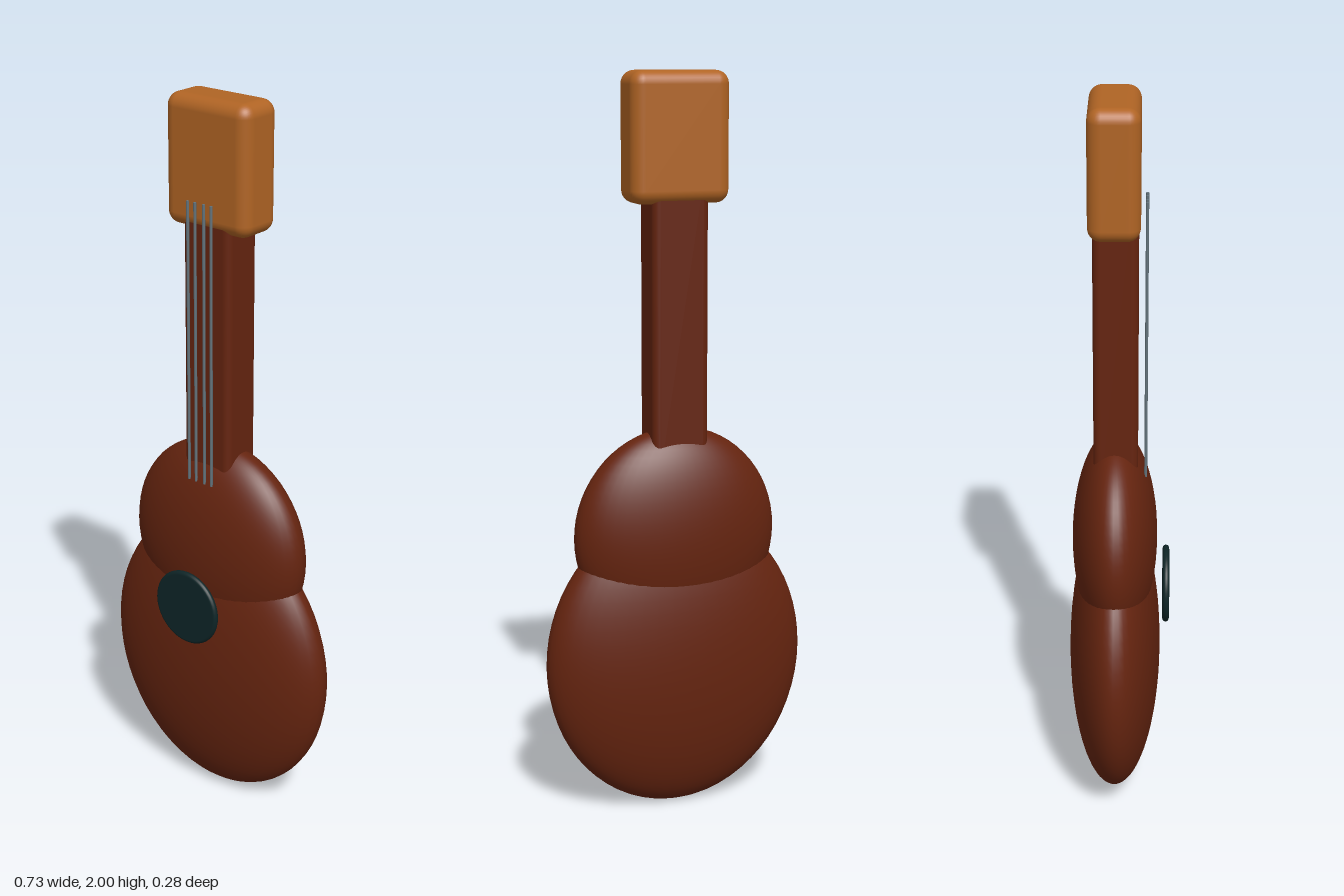
import * as THREE from 'three';
import { RoundedBoxGeometry } from 'three/addons/geometries/RoundedBoxGeometry.js';

const material = (name, color) => {
  const m = new THREE.MeshStandardMaterial({ color });
  m.name = name;
  return m;
};

export function createModel() {
  const group = new THREE.Group();
  group.name = 'guitar';
  const darkWood = material('darkWood', 0x65240f);
  const lightWood = material('lightWood', 0xb06424);
  const holeBlack = material('holeBlack', 0x0e2527);
  const steel = material('steel', 0x64747c);
  const zMid = -0.013;

  const add = (name, geometry, mat, x, y, z) => {
    const mesh = new THREE.Mesh(geometry, mat);
    mesh.name = name;
    mesh.position.set(x, y, z);
    group.add(mesh);
    return mesh;
  };

  // Body: two flattened bouts that overlap at the waist
  const bout = (name, y, rx, ry, rz) =>
    add(name, new THREE.SphereGeometry(1, 48, 32).scale(rx, ry, rz), darkWood, 0, y, zMid);
  bout('lowerBout', 0.42, 0.365, 0.416, 0.126);
  bout('upperBout', 0.77, 0.283, 0.293, 0.116);

  // Neck and headstock
  add('neck', new RoundedBoxGeometry(0.155, 0.78, 0.118, 4, 0.02), darkWood, 0, 1.34, zMid + 0.003);
  add('headstock', new RoundedBoxGeometry(0.27, 0.34, 0.134, 4, 0.035), lightWood, 0, 1.83, zMid);

  // Sound hole: a disc with a rounded rim, floating just ahead of the body
  const half = 0.009, radius = 0.107;
  const profile = [new THREE.Vector2(0, -half)];
  for (let i = 0; i <= 8; i++) {
    const a = -Math.PI / 2 + (i / 8) * Math.PI;
    profile.push(new THREE.Vector2(radius - half + half * Math.cos(a), half * Math.sin(a)));
  }
  profile.push(new THREE.Vector2(0, half));
  const disc = new THREE.LatheGeometry(profile, 48).rotateX(Math.PI / 2);
  add('soundHole', disc, holeBlack, 0, 0.615, 0.128);

  // Four strings
  for (const x of [-0.039, -0.015, 0.014, 0.038]) {
    add('string', new THREE.CylinderGeometry(0.004, 0.004, 0.77, 8), steel, x, 1.355, 0.07);
  }

  return group;
}
